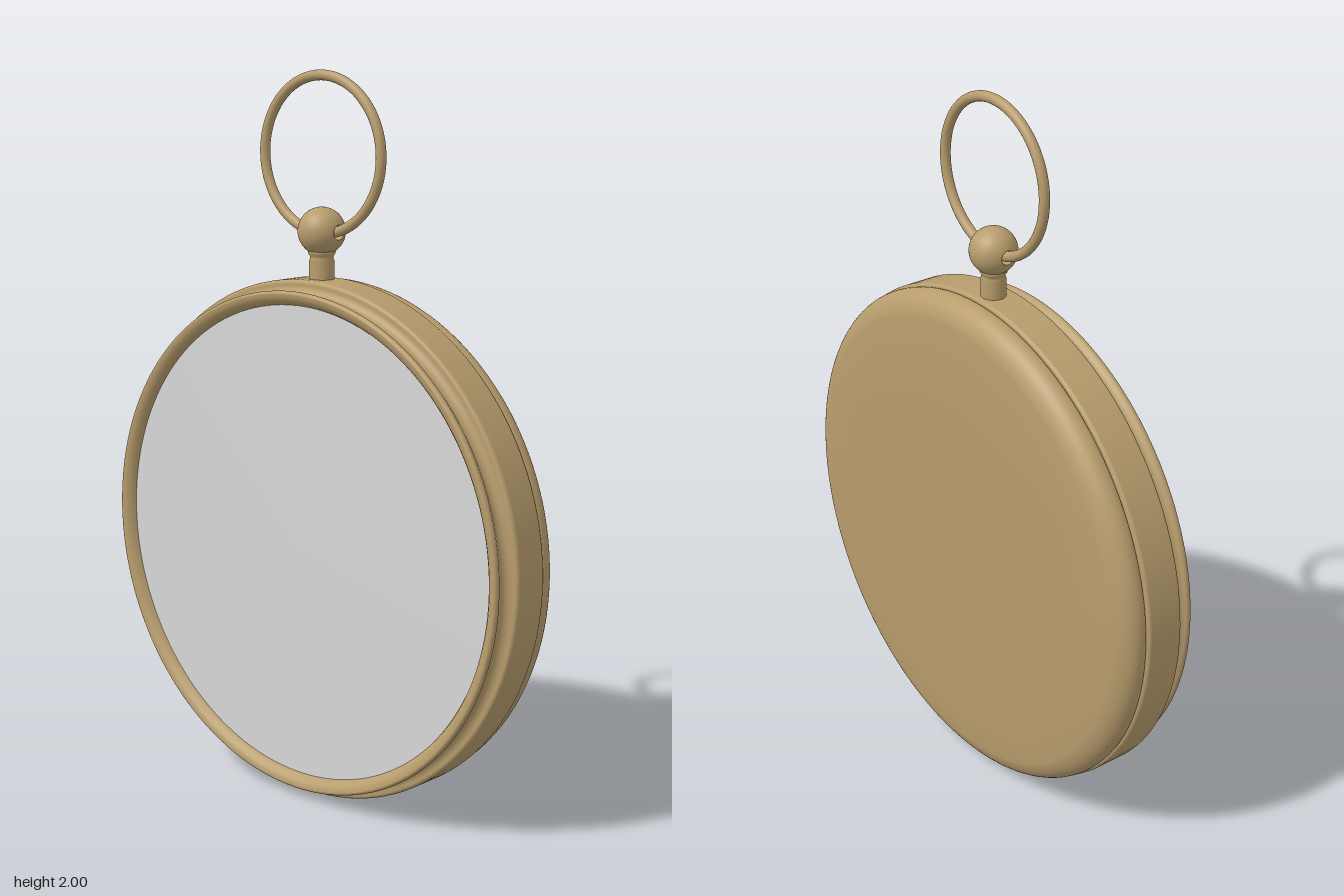
import * as THREE from 'three';

const brass = new THREE.MeshStandardMaterial({ color: 0xb89d6d });
brass.name = 'brass';
const glass = new THREE.MeshStandardMaterial({ color: 0xd8d8d8 });
glass.name = 'pale grey';

const CASE_Y = 0.723; // height of the case centre
const RING_Z = 0.007; // depth of the stem, ball and ring

function add(parent, name, geometry, material = brass) {
  const mesh = new THREE.Mesh(geometry, material);
  mesh.name = name;
  parent.add(mesh);
  return mesh;
}

// Lathe from [radius, height] pairs
function lathe(points, segments) {
  return new THREE.LatheGeometry(points.map(([r, h]) => new THREE.Vector2(r, h)), segments);
}

// Points on an elliptical arc of a profile, angles in degrees
function arc(cr, ch, rr, rh, from, to, steps) {
  return Array.from({ length: steps + 1 }, (_, i) => {
    const a = THREE.MathUtils.degToRad(from + (to - from) * i / steps);
    return [cr + rr * Math.cos(a), ch + rh * Math.sin(a)];
  });
}

export function createModel() {
  const model = new THREE.Group();
  model.name = 'pocketCase';

  // Round case, turned so the lathe axis points to the front
  const body = new THREE.Group();
  body.name = 'case';
  body.position.y = CASE_Y;
  body.rotation.x = Math.PI / 2;
  model.add(body);

  // Domed back cover with a softly rounded rim
  add(body, 'backCover', lathe([
    [0, -0.124], [0.3, -0.124], [0.54, -0.124], [0.6, -0.122],
    ...arc(0.635, -0.062, 0.082, 0.057, -75, 15, 12),
    [0.708, -0.042],
  ], 128));

  // Middle band with rounded shoulders
  add(body, 'middleBand', lathe([
    [0.706, -0.044],
    ...arc(0.713, -0.034, 0.01, 0.01, -90, 0, 5),
    ...arc(0.713, 0.056, 0.01, 0.011, 0, 90, 5),
    [0.7, 0.068],
  ], 128));

  // Bezel: hollow cove, rolled lip and inner slope
  add(body, 'bezelCove', lathe([
    [0.712, 0.066],
    ...arc(0.711, 0.088, 0.025, 0.021, 270, 130, 10),
  ], 128));
  add(body, 'bezelLip', lathe([
    [0.69, 0.104],
    ...arc(0.69, 0.114, 0.008, 0.01, -70, 90, 8),
  ], 128));
  add(body, 'bezelFront', lathe([
    [0.69, 0.124], [0.682, 0.123], [0.673, 0.119], [0.665, 0.111], [0.659, 0.1], [0.656, 0.09],
  ], 128));

  // Flat window
  const window = add(model, 'window', new THREE.CircleGeometry(0.66, 128), glass);
  window.position.set(0, CASE_Y, 0.098);

  // Stem with a small collar under the ball
  const stem = add(model, 'stem', lathe([
    [0.034, 1.41], [0.034, 1.495], [0.031, 1.502], [0.032, 1.508],
    [0.037, 1.514], [0.037, 1.522], [0.03, 1.53],
  ], 32));
  stem.position.z = RING_Z;

  // Ball drilled sideways for the ring
  const ball = new THREE.Group();
  ball.name = 'ball';
  ball.position.set(0, 1.574, RING_Z);
  ball.rotation.z = Math.PI / 2;
  model.add(ball);
  const hole = 0.02, radius = 0.065;
  const cut = THREE.MathUtils.radToDeg(Math.acos(hole / radius));
  const end = Math.sqrt(radius ** 2 - hole ** 2);
  add(ball, 'ballShell', lathe(arc(0, 0, radius, radius, -cut, cut, 24), 40));
  add(ball, 'ballHole', lathe([[hole, end], [hole, -end]], 32));

  // Hanging ring
  const ring = add(model, 'hangingRing', new THREE.TorusGeometry(0.209, 0.014, 20, 96));
  ring.position.set(0, 1.777, RING_Z);

  return model;
}
